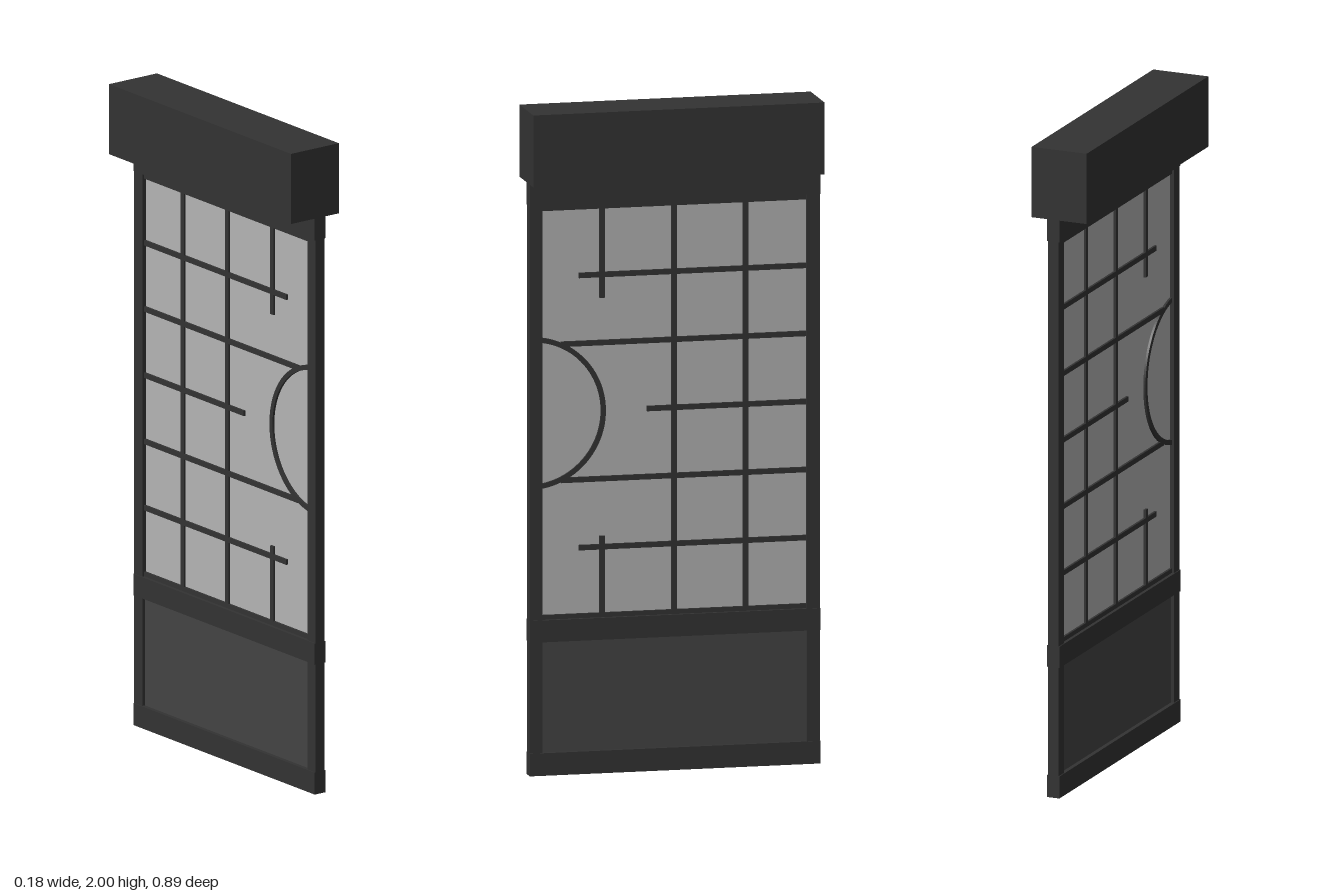
import * as THREE from 'three';

const frameMat = new THREE.MeshStandardMaterial({ color: 0x333333 });
const panelMat = new THREE.MeshStandardMaterial({ color: 0x444444 });
const paneMat = new THREE.MeshStandardMaterial({ color: 0xb4b4b4 });

const DOOR_X = 0.02; // the door leaf sits slightly off the header's centre line
const ARC_Y = 1.09;

// Box given by its thickness in x and its ranges in y and z
function slab(name, x, thick, y0, y1, z0, z1, mat = frameMat) {
  const mesh = new THREE.Mesh(new THREE.BoxGeometry(thick, y1 - y0, z1 - z0), mat);
  mesh.position.set(x, (y0 + y1) / 2, (z0 + z1) / 2);
  mesh.name = name;
  return mesh;
}

export function createModel() {
  const model = new THREE.Group();
  model.name = 'latticeDoor';

  // Header box
  model.add(slab('header', 0, 0.178, 1.783, 2, -0.443, 0.443));

  // Door frame: stiles and the slightly thicker rails
  const frame = new THREE.Group();
  frame.name = 'doorFrame';
  for (const s of [-1, 1]) {
    frame.add(slab('stile', DOOR_X, 0.034, 0, 1.783, s * 0.422 - 0.02, s * 0.422 + 0.02));
  }
  for (const [y0, y1] of [[0, 0.068], [0.402, 0.468], [1.715, 1.783]]) {
    frame.add(slab('rail', DOOR_X, 0.04, y0, y1, -0.442, 0.442));
  }
  model.add(frame);

  // Infill
  model.add(slab('lowerPanel', DOOR_X, 0.014, 0.06, 0.41, -0.41, 0.41, panelMat));
  model.add(slab('pane', DOOR_X, 0.006, 0.46, 1.72, -0.41, 0.41, paneMat));

  // Lattice bars
  const lattice = new THREE.Group();
  lattice.name = 'lattice';
  const half = 0.008, depth = 0.02;
  const rows = [[1.5, 0.29], [1.295, 0.345], [1.09, 0.083], [0.885, 0.345], [0.68, 0.29],
    [1.707, 0.41], [0.474, 0.41]];
  for (const [y, z] of rows) {
    lattice.add(slab('horizontalBar', DOOR_X, depth, y - half, y + half, -0.41, z));
  }
  const columns = [[0, 0.46, 1.72], [-0.217, 0.46, 1.72], [0.219, 1.43, 1.72], [0.219, 0.46, 0.713]];
  for (const [z, y0, y1] of columns) {
    lattice.add(slab('verticalBar', DOOR_X, depth, y0, y1, z - half, z + half));
  }

  // Curved bar beside the front stile
  const a0 = Math.PI - 1.44, a1 = Math.PI + 1.44;
  const arc = new THREE.Shape();
  arc.absarc(0, 0, 0.23, a0, a1, false);
  arc.absarc(0, 0, 0.215, a1, a0, true);
  const arcGeo = new THREE.ExtrudeGeometry(arc, { depth, bevelEnabled: false, curveSegments: 32 });
  arcGeo.translate(0, 0, -depth / 2).rotateY(-Math.PI / 2);
  const arcBar = new THREE.Mesh(arcGeo, frameMat);
  arcBar.name = 'curvedBar';
  arcBar.position.set(DOOR_X, ARC_Y, 0.438);
  lattice.add(arcBar);
  model.add(lattice);

  return model;
}
